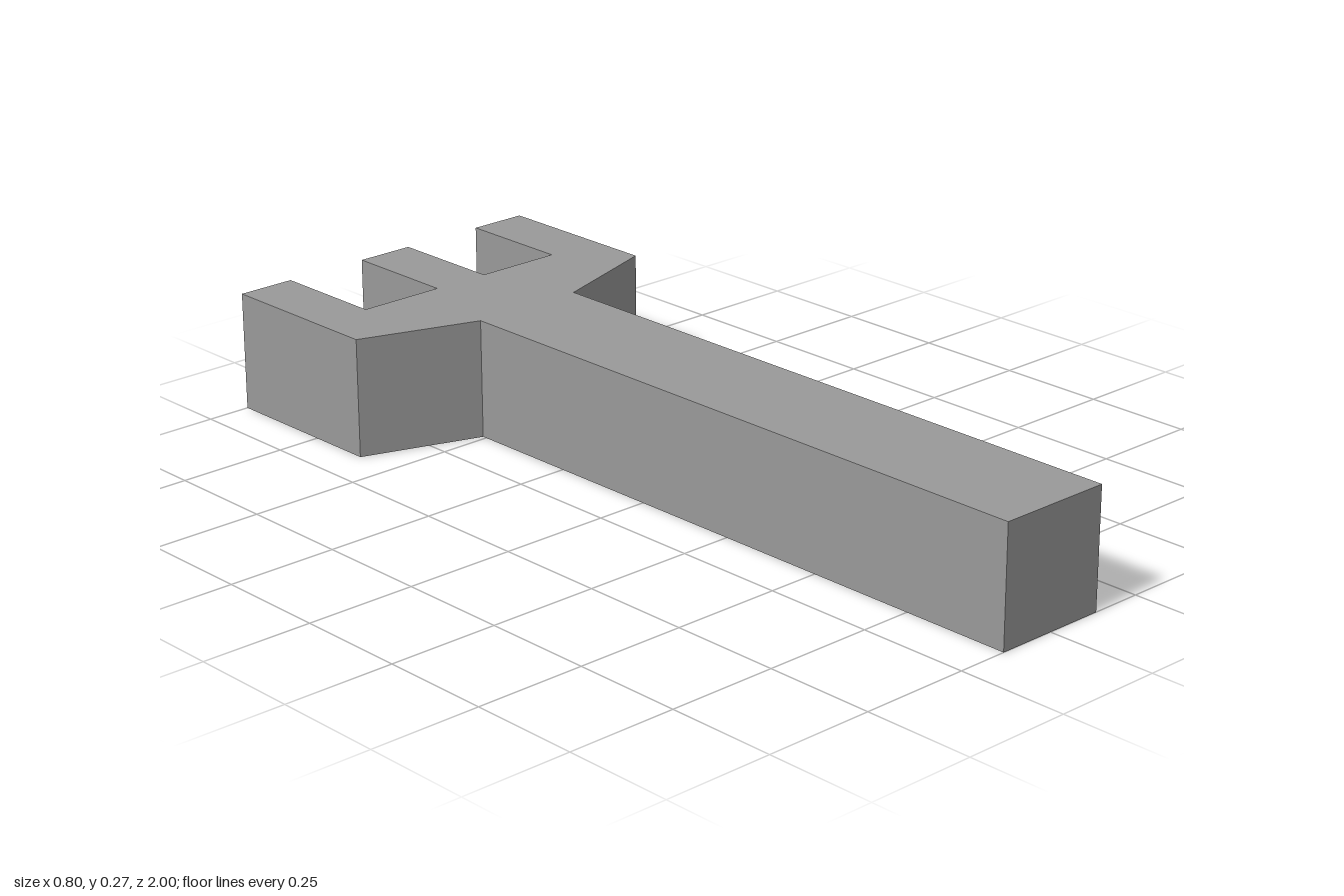
import * as THREE from 'three';

const HEIGHT = 0.267;

export function createModel() {
  const group = new THREE.Group();
  group.name = 'fork';
  const gray = new THREE.MeshStandardMaterial({ color: 0x999999 });
  gray.name = 'gray';

  // Right half of the outline, from handle end to middle prong (x, distance towards the back)
  const half = [
    [0.133, -1], [0.133, 0.51], // handle
    [0.4, 0.6], // sloping shoulder
    [0.4, 1], [0.267, 1], [0.267, 0.735], // outer prong
    [0.067, 0.735], [0.067, 1], // middle prong
  ];
  const mirrored = half.map(([x, y]) => [-x, y]).reverse();
  const outline = [...half, ...mirrored].map(([x, y]) => new THREE.Vector2(x, y));

  // Extrude upwards and lay flat on the ground
  const geometry = new THREE.ExtrudeGeometry(new THREE.Shape(outline), {
    depth: HEIGHT,
    bevelEnabled: false,
  });
  geometry.rotateX(-Math.PI / 2);

  const body = new THREE.Mesh(geometry, gray);
  body.name = 'handleAndProngs';
  group.add(body);
  return group;
}
